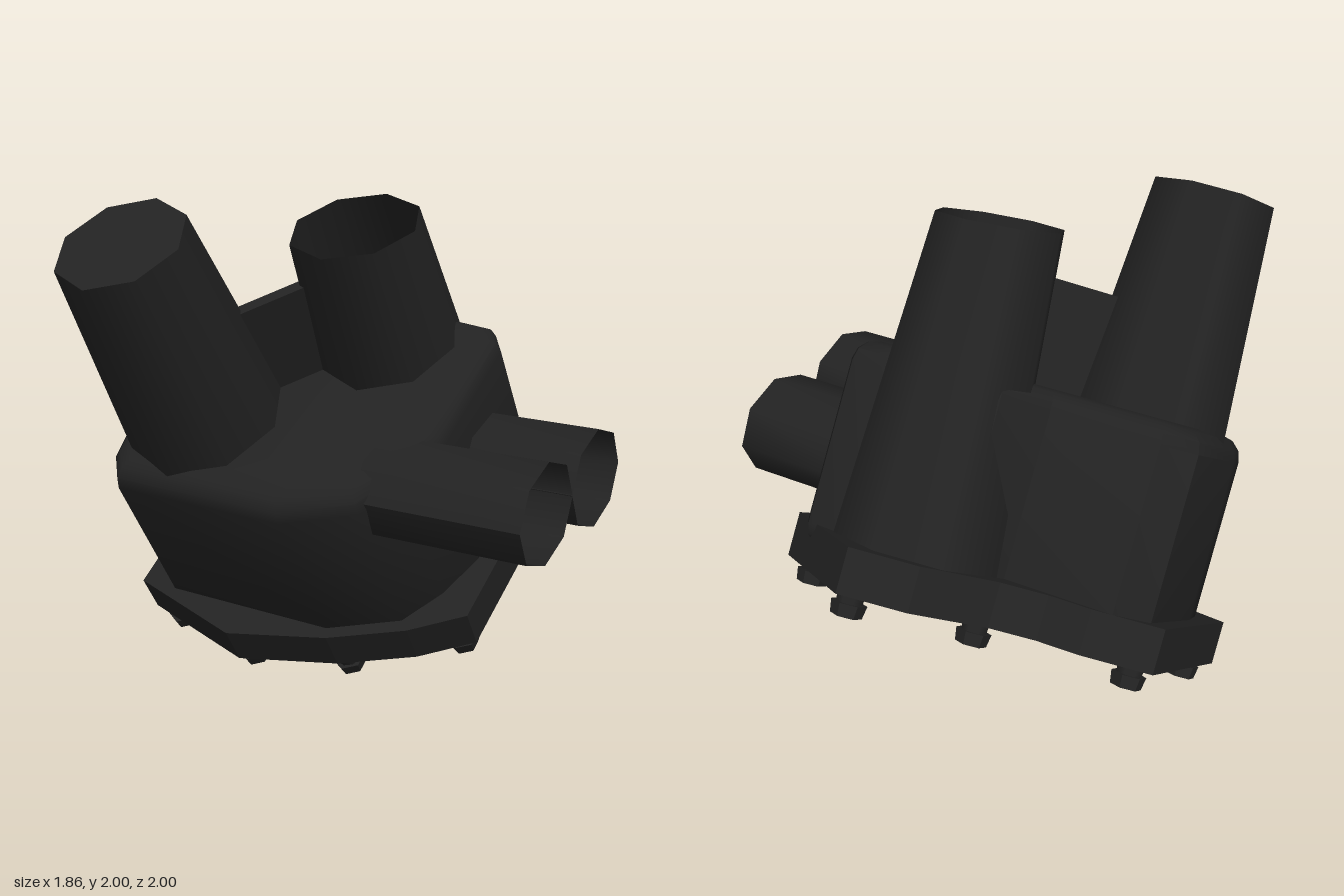
import * as THREE from 'three';
import { toCreasedNormals } from 'three/addons/utils/BufferGeometryUtils.js';

const TILT = THREE.MathUtils.degToRad(31.5);

export function createModel() {
  const model = new THREE.Group();
  model.name = 'pipeHousing';
  const dark = new THREE.MeshStandardMaterial({ color: 0x222222, side: THREE.DoubleSide });

  const add = (parent, name, geometry) => {
    const mesh = new THREE.Mesh(geometry, dark);
    mesh.name = name;
    parent.add(mesh);
    return mesh;
  };

  // Upright prism over an outline of [x, z] points, with an optional rounded rim
  const prism = (outline, bottom, top, bevel = 0) => {
    const shape = new THREE.Shape(outline.map(([x, z]) => new THREE.Vector2(x, -z)));
    const geometry = new THREE.ExtrudeGeometry(shape, {
      depth: top - bottom - 2 * bevel,
      bevelEnabled: bevel > 0,
      bevelSize: bevel,
      bevelThickness: bevel,
      bevelOffset: -bevel,
      bevelSegments: 3,
    });
    geometry.rotateX(-Math.PI / 2);
    geometry.translate(0, bottom + bevel, 0);
    return bevel > 0 ? toCreasedNormals(geometry, 0.7) : geometry;
  };

  // Eight-sided tapered pipe from base to tip; slope slants the tip along z
  const pipe = (base, baseRadius, tip, tipRadius, open, slope = 0) => {
    const geometry = new THREE.CylinderGeometry(tipRadius, baseRadius, 1, 8, 1, open);
    const p = geometry.attributes.position;
    for (let i = 0; i < p.count; i++) {
      const atTip = p.getY(i) > 0;
      const [cx, cy, cz] = atTip ? tip : base;
      const lift = atTip ? p.getZ(i) * slope : 0;
      p.setXYZ(i, cx + p.getX(i), cy + lift, cz + p.getZ(i));
    }
    return geometry;
  };

  // Everything but the side outlet leans forward
  const leaning = new THREE.Group();
  leaning.name = 'leaningHousing';
  leaning.rotation.x = TILT;
  model.add(leaning);

  // Mounting plate
  add(leaning, 'mountingPlate', prism([
    [-0.93, 0.05], [-0.41, 0.2], [0.02, 0.11], [0.33, -0.01], [0.54, -0.14], [0.57, -0.9],
    [0.09, -1.283], [-0.15, -1.165], [-0.35, -0.9], [-0.51, -0.81], [-0.68, -0.785], [-0.93, -0.66],
  ], 0.18, 0.355));

  // Main body with a rounded upper rim
  add(leaning, 'body', prism([
    [-0.87, -0.22], [-0.84, -0.06], [-0.76, 0.05], [0, 0.065], [0.29, -0.05], [0.4, -0.22], [0.47, -0.42],
    [0.485, -0.96], [0.43, -1.04], [0.28, -1.06], [-0.2, -1.0], [-0.31, -0.79], [-0.75, -0.75], [-0.86, -0.63],
  ], 0.26, 1.09, 0.09));

  // Two upright pipes: a closed one in front, an open one behind
  add(leaning, 'frontPipe', pipe([-0.515, 1.0, -0.32], 0.33, [-0.515, 1.99, -0.3], 0.256, false));
  add(leaning, 'rearPipe', pipe([0.045, 0.35, -0.835], 0.345, [0.055, 1.65, -0.886], 0.256, true, 0.2));

  // Thin web joining the pipes
  const web = add(leaning, 'web', new THREE.BoxGeometry(0.72, 0.5, 0.05));
  web.position.set(-0.23, 1.25, -0.6);
  web.rotation.y = Math.atan2(0.55, 0.57);

  // Bolts under the plate
  const boltSpots = [
    [-0.82, 0.02], [-0.4, 0.11], [0.03, 0.04], [0.45, -0.18],
    [0.47, -0.84], [0.09, -1.17], [-0.28, -0.86], [-0.82, -0.6],
  ];
  for (const [x, z] of boltSpots) {
    const bolt = new THREE.Group();
    bolt.name = 'bolt';
    bolt.position.set(x, 0, z);
    leaning.add(bolt);
    add(bolt, 'boltCollar', new THREE.CylinderGeometry(0.055, 0.05, 0.06, 8)).position.y = 0.16;
    add(bolt, 'boltHead', toCreasedNormals(new THREE.CylinderGeometry(0.068, 0.06, 0.05, 6), 0.5)).position.y = 0.12;
  }

  // Level twin outlet on the left side, open at its end
  for (const z of [-0.244, 0.229]) {
    const tube = new THREE.CylinderGeometry(1, 1, 0.665, 8, 1, true);
    tube.scale(0.198, 1, 0.238);
    tube.rotateZ(-Math.PI / 2);
    tube.computeVertexNormals();
    add(model, 'outletTube', tube).position.set(0.5925, 0.917, z);
  }

  return model;
}
